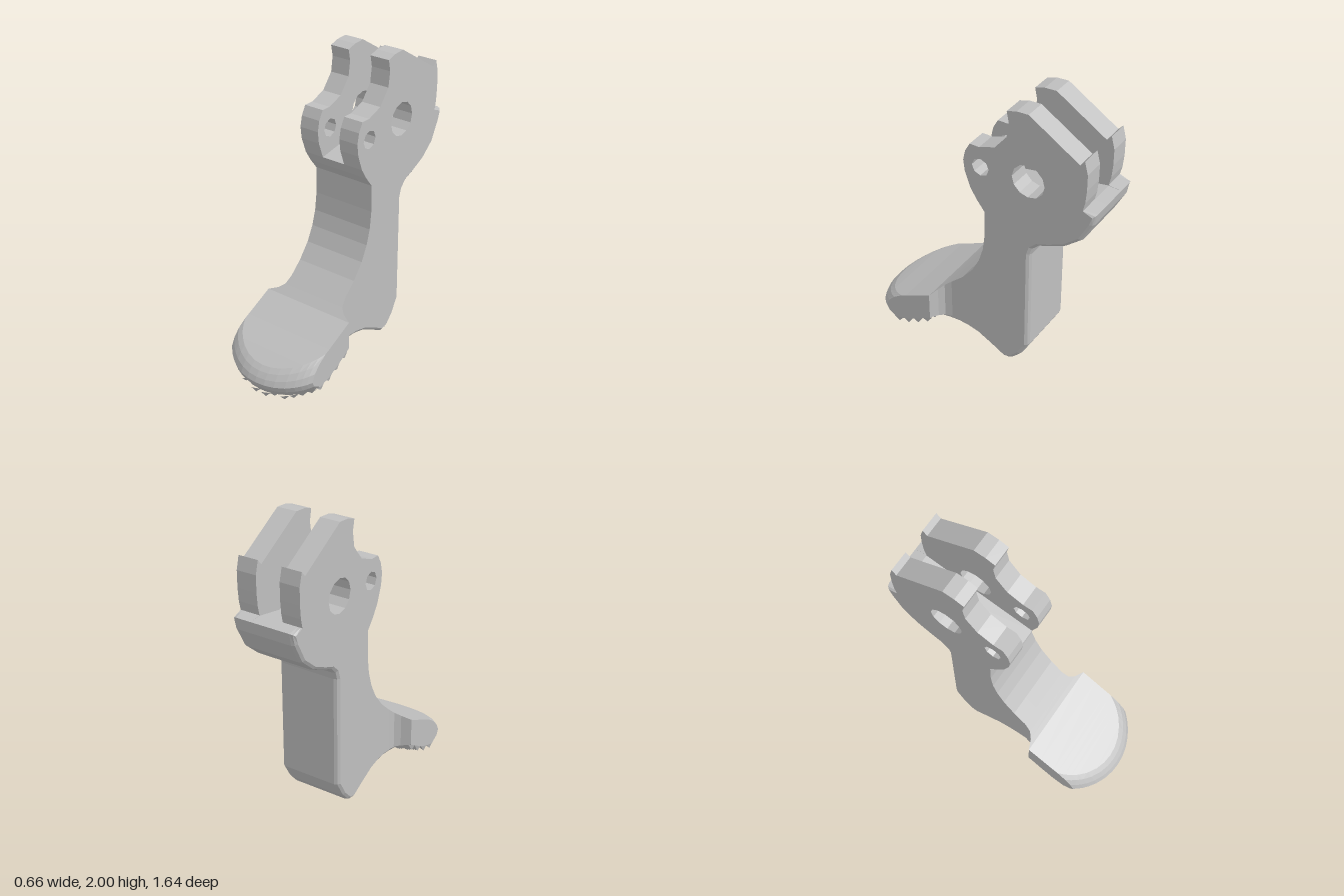
import * as THREE from 'three';

const steel = new THREE.MeshStandardMaterial({ color: 0xbfbfbf });
steel.name = 'plainSteel';

// flat-faceted mesh from a list of corner points, three per triangle
function facetMesh(name, corners) {
  const geometry = new THREE.BufferGeometry().setFromPoints(corners);
  geometry.computeVertexNormals();
  const mesh = new THREE.Mesh(geometry, steel);
  mesh.name = name;
  return mesh;
}

// joins rows of points into quads
function skin(rows) {
  const out = [];
  for (let i = 0; i + 1 < rows.length; i++) {
    for (let j = 0; j + 1 < rows[i].length; j++) {
      const a = rows[i][j], b = rows[i][j + 1], c = rows[i + 1][j + 1], d = rows[i + 1][j];
      out.push(a, b, c, a, c, d);
    }
  }
  return out;
}

const V = (x, y, z) => new THREE.Vector3(x, y, z);
const at = (x, points) => points.map(([z, y]) => V(x, y, z));
const closed = (list) => [...list, list[0]];

// flat end cap of a side profile, facing +x or -x
function cap(x, outline, holes, facing) {
  const flat = (pts) => pts.map(([z, y]) => new THREE.Vector2(z, y));
  const points = [outline, ...holes].flatMap((p) => at(x, p));
  const out = [];
  for (const f of THREE.ShapeUtils.triangulateShape(flat(outline), holes.map(flat))) {
    const [a, b, c] = f.map((i) => points[i]);
    const nx = (b.y - a.y) * (c.z - a.z) - (b.z - a.z) * (c.y - a.y);
    out.push(...(nx * facing > 0 ? [a, b, c] : [a, c, b]));
  }
  return out;
}

// side profile swept along decreasing x; sections are [x, outline]
function slab(name, sections, holes = []) {
  const first = sections[0], last = sections[sections.length - 1];
  const out = skin(sections.map(([x, p]) => at(x, closed(p))));
  for (const h of holes) out.push(...skin([first, last].map(([x]) => at(x, closed(h)))));
  out.push(...cap(first[0], first[1], holes, 1), ...cap(last[0], last[1], holes, -1));
  return facetMesh(name, out);
}

const hole = (z, y, r, n) => Array.from({ length: n }, (_, i) => {
  const a = (i / n) * Math.PI * 2;
  return [z + r * Math.cos(a), y - r * Math.sin(a)];
});

// side profile as [z, y], in order: shank front, head, back and underside
const shankFront = [
  [0.3, 0.43], [0.22, 0.5], [0.11, 0.6], [0.03, 0.7], [-0.02, 0.8], [-0.05, 0.9], [-0.065, 1.02],
  [-0.065, 1.2], [-0.01, 1.27], [0.037, 1.345],
];
const headTop = [
  [0.075, 1.45], [0.085, 1.53], [0.07, 1.6], [0.037, 1.66], [-0.03, 1.66], [-0.14, 1.7],
  [-0.22, 1.8], [-0.235, 1.9], [-0.22, 1.975], [-0.285, 1.995], [-0.365, 2], [-0.705, 1.79],
  [-0.735, 1.825], [-0.757, 1.74], [-0.757, 1.63], [-0.75, 1.545], [-0.737, 1.485],
];
const backAndUnderside = [
  [-0.82, 1.475], [-0.805, 1.395], [-0.735, 1.26], [-0.63, 1.17], [-0.525, 1.12], [-0.445, 1.09],
  [-0.405, 1.05], [-0.39, 1], [-0.39, 0.25], [-0.375, 0.22], [-0.33, 0.14], [-0.275, 0.08],
  [-0.25, 0.065], [-0.2, 0.06], [-0.1, 0.115], [0, 0.165], [0.08, 0.185], [0.15, 0.19],
  [0.22, 0.185], [0.3, 0.17],
];
const cheekProfile = [...shankFront, ...headTop, ...backAndUnderside];
const slotProfile = [...shankFront, [-0.737, 1.482], ...backAndUnderside];

// pulls the back and underside inward for the rounded rear edges
function insetBack(d) {
  const start = shankFront.length + headTop.length, n = cheekProfile.length;
  return cheekProfile.map((p, i) => {
    if (i < start) return p;
    const a = cheekProfile[i - 1], b = i + 1 < n ? cheekProfile[i + 1] : p;
    const dz = b[0] - a[0], dy = b[1] - a[1], len = Math.hypot(dz, dy);
    return [p[0] - (dy / len) * d, p[1] + (dz / len) * d];
  });
}

// straight-line lookup in a short [z, y] table
function lookup(table, z) {
  let i = 1;
  while (i < table.length - 1 && z > table[i][0]) i++;
  const [z0, y0] = table[i - 1], [z1, y1] = table[i];
  return y0 + ((y1 - y0) * (z - z0)) / (z1 - z0);
}
const topTable = [[0.11, 0.6], [0.22, 0.5], [0.3, 0.43], [0.5, 0.335], [0.67, 0.26], [0.82, 0.185]];
const spineTable = [[0.19, 0.2], [0.3, 0.185], [0.4, 0.125], [0.5, 0.075], [0.6, 0.05],
  [0.7, 0.04], [0.78, 0.05], [0.83, 0.075]];
const padTop = (z) => lookup(topTable, z);
const padUnder = (x, z) => lookup(spineTable, z) + 0.5 * x * x;

const NOSE_Z = 0.391, NOSE_R = 0.429, PAD_W = 0.33;

// half outline of the pad as [x, z], its round nose drawn in by d
function padOutline(d) {
  const nose = [1, 0.93, 0.85, 0.75, 0.6, 0.4, 0.2, 0].map((s) => {
    const x = s * PAD_W;
    return [x, NOSE_Z + Math.sqrt((NOSE_R - d) ** 2 - x * x)];
  });
  return [[0.22, 0.197], [0.232, 0.245], [0.267, 0.275], [PAD_W, 0.302], [PAD_W, 0.4], [PAD_W, 0.5], ...nose];
}

function makePad() {
  // rim levels: nose inset, height fraction between underside and top
  const levels = [[0.07, 1], [0.04, 0.92], [0.015, 0.75], [0, 0.5], [0.012, 0.25], [0.045, 0]];
  const rings = levels.map(([d, t]) => {
    const half = padOutline(d);
    const both = [...half, ...half.slice(0, -1).reverse().map(([x, z]) => [-x, z])];
    return both.map(([x, z]) => V(x, THREE.MathUtils.lerp(padUnder(x, z), padTop(z), t), z));
  });
  const top = padOutline(levels[0][0]).map(([x, z]) => [V(x, padTop(z), z), V(-x, padTop(z), z)]);
  const under = padOutline(0.045).map(([w, z]) =>
    Array.from({ length: 9 }, (_, j) => {
      const x = w * (j / 4 - 1);
      return V(x, padUnder(x, z), z);
    }));
  return facetMesh('thumbPad', [...skin(rings), ...skin(top), ...skin(under)]);
}

// diamond rows of small pyramids under the pad
function makeGrip() {
  const h = 0.04, out = [];
  for (let row = 0; row < 14; row++) {
    const z = 0.33 + row * h;
    for (let k = -5; k <= 5; k++) {
      const x = (2 * k + (row % 2)) * h;
      if (Math.abs(x) > 0.325 || Math.hypot(x, z - NOSE_Z) > 0.39) continue;
      const base = [[h, 0], [0, h], [-h, 0], [0, -h]].map(([dx, dz]) => {
        const px = THREE.MathUtils.clamp(x + dx, -PAD_W, PAD_W);
        return V(px, padUnder(px, z + dz), z + dz);
      });
      const tip = V(x, padUnder(x, z) - 0.038, z);
      for (let i = 0; i < 4; i++) out.push(base[i], base[(i + 1) % 4], tip);
    }
  }
  return facetMesh('gripPyramids', out);
}

export function createModel() {
  const model = new THREE.Group();
  model.name = 'lever';

  // two cheeks with pin holes, and the slotted core between them
  const holes = [hole(-0.37, 1.545, 0.112, 12), hole(-0.037, 1.52, 0.06, 8)];
  const sections = [[0.22, insetBack(0.025)], [0.208, insetBack(0.008)], [0.188, cheekProfile], [0.083, cheekProfile]];
  const mirrored = sections.map(([x, p]) => [-x, p]).reverse();
  model.add(slab('leftCheek', sections, holes));
  model.add(slab('rightCheek', mirrored, holes));
  model.add(slab('slottedCore', [[0.083, slotProfile], [-0.083, slotProfile]]));

  // thumb pad with its knurled underside
  model.add(makePad(), makeGrip());
  return model;
}
